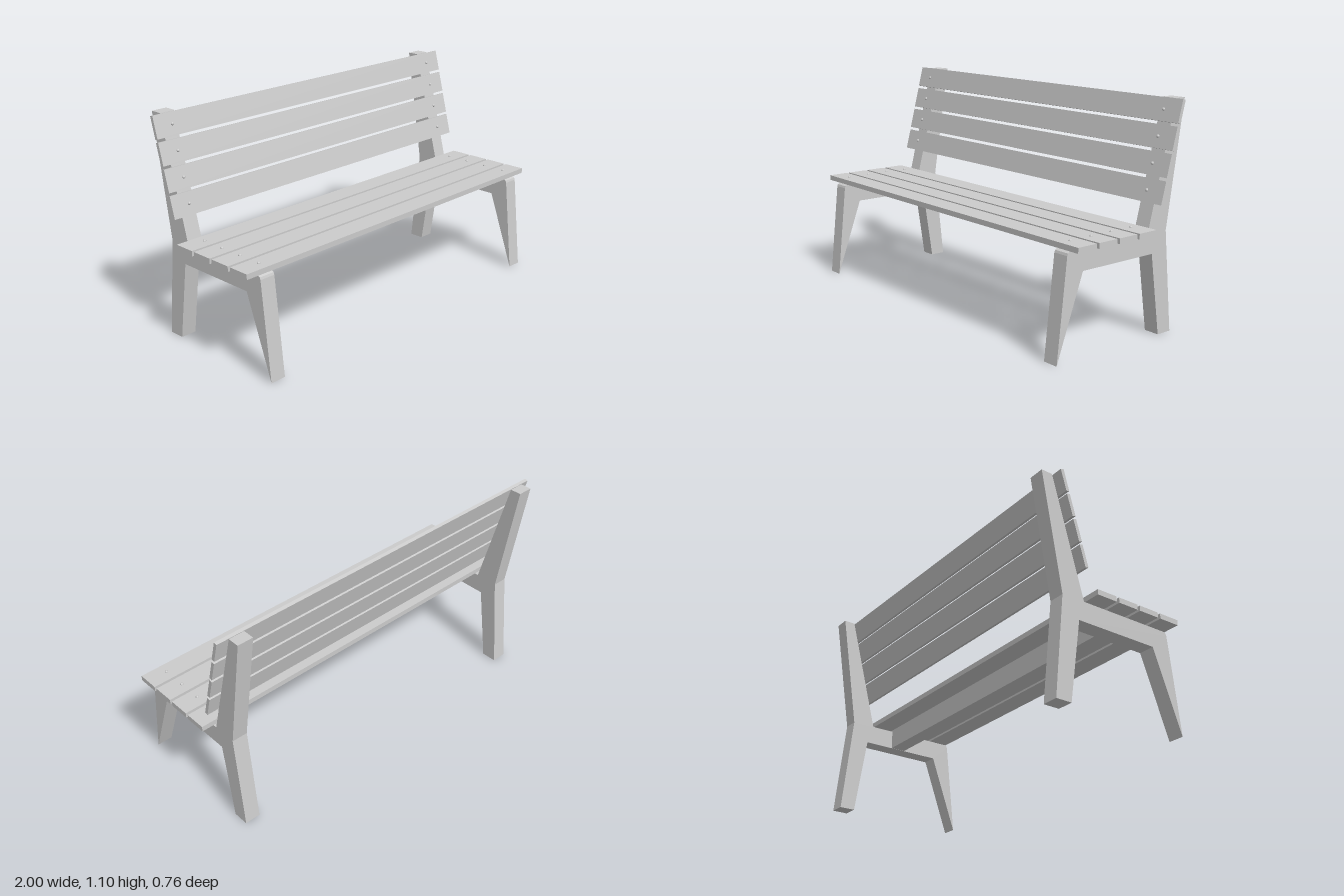
import * as THREE from 'three';

const material = new THREE.MeshStandardMaterial({ color: 0xcccccc, flatShading: true });
const smooth = new THREE.MeshStandardMaterial({ color: 0xcccccc });

const CENTRE = 0.005; // frames and backrest sit slightly off the seat's middle
const FRAME_X = 0.89;
const FRAME_W = 0.08;

function addMesh(parent, name, geometry, mat = material) {
  const mesh = new THREE.Mesh(geometry, mat);
  mesh.name = name;
  parent.add(mesh);
  return mesh;
}

// Side profile as (z, y): front leg, seat rail, rear leg and leaning back post
const PROFILE = [
  [0.383, 0], [0.331, 0.48], [0.327, 0.491], [0.315, 0.497],
  [-0.164, 0.497], [-0.322, 1.097], [-0.381, 1.097], [-0.285, 0.495],
  [-0.337, 0], [-0.256, 0], [-0.196, 0.398], [0.237, 0.398],
];

function frameGeometry() {
  const shape = new THREE.Shape(PROFILE.map(([z, y]) => new THREE.Vector2(z, y)));
  const geometry = new THREE.ExtrudeGeometry(shape, { depth: FRAME_W, bevelEnabled: false });
  return geometry.translate(0, 0, -FRAME_W / 2).rotateY(-Math.PI / 2);
}

// A board facing +z with a domed bolt head above each frame
function slat(name, length, thickness, x) {
  const group = new THREE.Group();
  group.name = name;
  group.position.x = x;
  addMesh(group, 'board', new THREE.BoxGeometry(length, 0.109, thickness));
  const dome = new THREE.SphereGeometry(0.008, 12, 5, 0, Math.PI * 2, 0, Math.PI / 2).rotateX(Math.PI / 2);
  for (const side of [-1, 1]) {
    const bolt = addMesh(group, 'bolt', dome, smooth);
    bolt.position.set(CENTRE - x + side * FRAME_X, 0, thickness / 2);
  }
  return group;
}

export function createModel() {
  const bench = new THREE.Group();
  bench.name = 'bench';

  // Side frames
  const frame = frameGeometry();
  for (const [name, side] of [['leftFrame', 1], ['rightFrame', -1]]) {
    addMesh(bench, name, frame).position.x = CENTRE + side * FRAME_X;
  }

  // Beam joining the frames under the seat
  const beam = addMesh(bench, 'crossBeam', new THREE.BoxGeometry(2 * FRAME_X - FRAME_W, 0.098, FRAME_W));
  beam.position.set(CENTRE, 0.448, 0);

  for (let i = 0; i < 4; i++) {
    // Seat boards, front to back
    const seat = slat('seatSlat', 2, 0.026, 0);
    seat.position.y = 0.517;
    seat.position.z = 0.276 - i * 0.1238;
    seat.rotation.x = -Math.PI / 2;
    bench.add(seat);

    // Backrest boards, bottom to top
    const back = slat('backSlat', 1.975, 0.017, CENTRE + 0.002);
    back.position.y = 0.686 + i * 0.1195;
    back.position.z = -0.202 - i * 0.031;
    back.rotation.x = -0.262;
    bench.add(back);
  }
  return bench;
}
